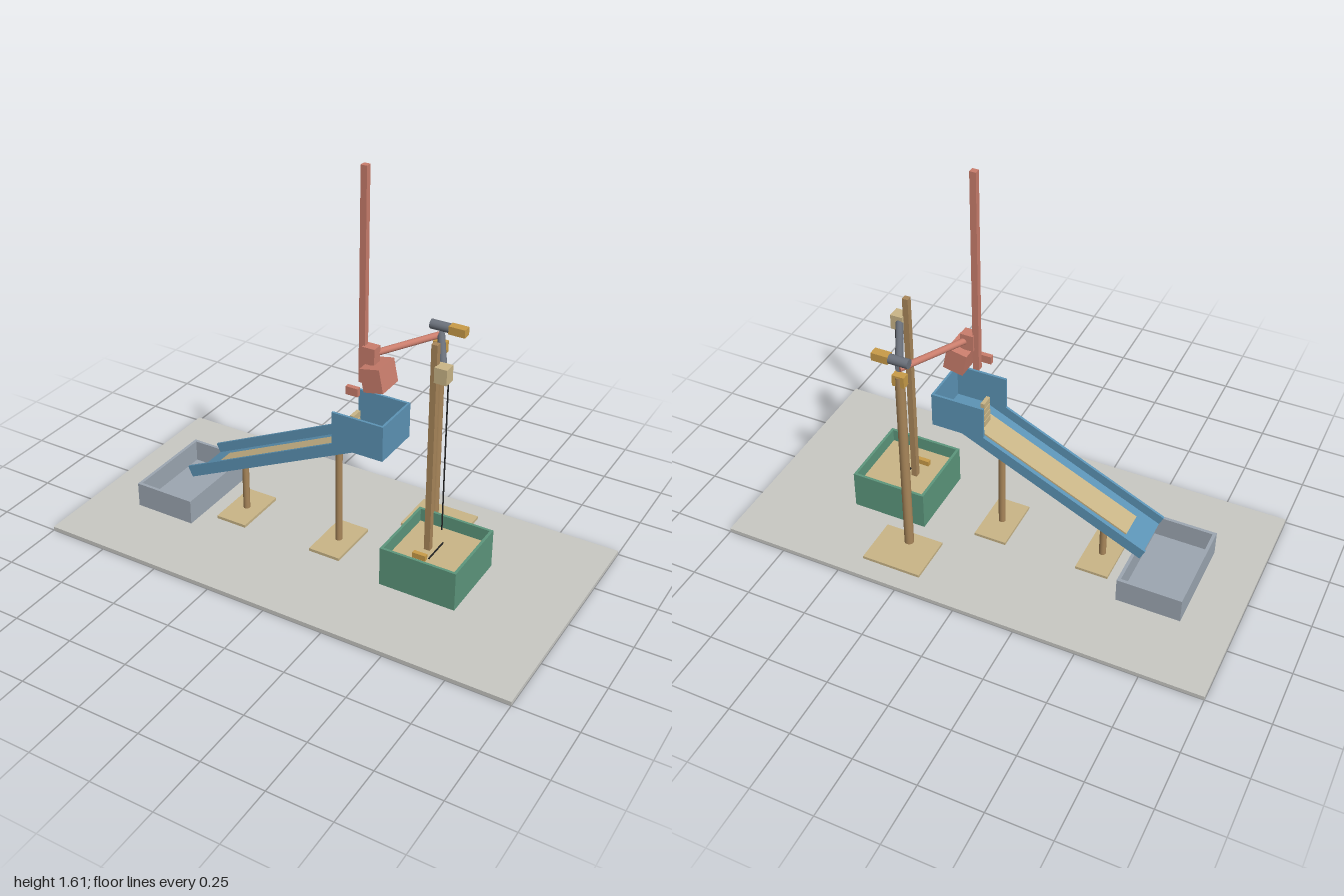
import * as THREE from 'three';

const mat = (name, color) => {
  const m = new THREE.MeshStandardMaterial({ color });
  m.name = name;
  return m;
};

export function createModel() {
  const M = {
    base: mat('pale grey', 0xc8c8c3),
    tray: mat('slate grey', 0x9ca6b1),
    blue: mat('flume blue', 0x5c93b5),
    sand: mat('sand', 0xc9b587),
    green: mat('tank green', 0x5c967c),
    wood: mat('brown wood', 0xa8865a),
    red: mat('salmon red', 0xc97d6c),
    steel: mat('steel grey', 0x6c727c),
    gold: mat('gold', 0xc89b48),
    black: mat('black', 0x222222),
  };
  const model = new THREE.Group();
  model.name = 'flumeApparatus';

  const add = (parent, name, geo, material) => {
    const m = new THREE.Mesh(geo, material);
    m.name = name;
    parent.add(m);
    return m;
  };
  // Box given by its lower and upper limits on each axis
  const box = (name, material, x0, x1, y0, y1, z0, z1, parent = model) => {
    const m = add(parent, name, new THREE.BoxGeometry(x1 - x0, y1 - y0, z1 - z0), material);
    m.position.set((x0 + x1) / 2, (y0 + y1) / 2, (z0 + z1) / 2);
    return m;
  };
  // Cylinder between two points
  const rod = (name, material, a, b, r, sides = 16) => {
    const p = new THREE.Vector3(...a), q = new THREE.Vector3(...b);
    const m = add(model, name, new THREE.CylinderGeometry(r, r, p.distanceTo(q), sides), material);
    m.position.copy(p).lerp(q, 0.5);
    m.quaternion.setFromUnitVectors(new THREE.Vector3(0, 1, 0), q.sub(p).normalize());
    return m;
  };
  // Open-topped bin with a floor
  const bin = (name, material, x0, x1, y0, y1, hz, t) => {
    const g = new THREE.Group();
    g.name = name;
    model.add(g);
    box(name + 'Floor', material, x0 + t, x1 - t, y0, y0 + t, -hz + t, hz - t, g);
    for (const s of [-1, 1]) {
      box(name + 'Side', material, x0, x1, y0, y1, s > 0 ? hz - t : -hz, s > 0 ? hz : -hz + t, g);
      box(name + 'End', material, s > 0 ? x1 - t : x0, s > 0 ? x1 : x0 + t, y0, y1, -hz + t, hz - t, g);
    }
  };

  const ground = 0.016;
  box('baseBoard', M.base, -1, 1, 0, ground, -0.5, 0.5);

  // Catch tray and supply tank with its fill
  bin('catchTray', M.tray, -0.8, -0.54, ground, 0.12, 0.2, 0.013);
  bin('supplyTank', M.green, 0.3, 0.615, ground, 0.18, 0.16, 0.011);
  box('tankSand', M.sand, 0.311, 0.604, 0.027, 0.125, -0.149, 0.149);
  box('tankBlock', M.gold, 0.395, 0.45, 0.125, 0.148, 0.063, 0.081);
  box('tankCrossbar', M.black, 0.452, 0.457, 0.125, 0.129, -0.06, 0.06);

  // Sloping trough, laid flat in its own group and tilted
  const flume = new THREE.Group();
  flume.name = 'flume';
  flume.position.set(-0.592, 0.17, 0);
  flume.rotation.z = Math.atan2(0.35, 0.74);
  model.add(flume);
  box('flumeFloor', M.blue, 0, 0.82, 0, 0.008, -0.105, 0.105, flume);
  for (const s of [-1, 1]) {
    box('flumeWall', M.blue, 0, 0.82, 0.008, 0.047, s * 0.1 - 0.005, s * 0.1 + 0.005, flume);
  }
  box('flumeSand', M.sand, 0.09, 0.815, 0.008, 0.015, -0.052, 0.052, flume);

  // Head box, open on the trough side
  const head = new THREE.Group();
  head.name = 'headBox';
  model.add(head);
  box('headFloor', M.blue, 0.14, 0.267, 0.52, 0.528, -0.095, 0.095, head);
  box('headEnd', M.blue, 0.265, 0.274, 0.52, 0.665, -0.105, 0.105, head);
  for (const s of [-1, 1]) {
    box('headSide', M.blue, 0.058, 0.265, 0.52, 0.665, s * 0.1 - 0.005, s * 0.1 + 0.005, head);
  }

  // Slatted gate at the top of the trough
  for (let i = 0; i < 4; i++) {
    const y = 0.51 + i * 0.029;
    box('gateSlat', M.sand, 0.091, 0.107, y, y + 0.024, -0.025, 0.025);
  }
  box('gateSpine', M.wood, 0.096, 0.102, 0.505, 0.62, -0.018, 0.018);

  // Flume supports
  for (const [x, top] of [[-0.405, 0.255], [0.03, 0.456]]) {
    box('supportFoot', M.sand, x - 0.067, x + 0.067, ground, 0.028, -0.115, 0.115);
    rod('supportPost', M.wood, [x, 0.028, 0], [x, top, 0], 0.014);
  }

  // Pivot column with foot, cap and drive
  const px = 0.31, pz = -0.267;
  box('columnFoot', M.sand, 0.188, 0.434, ground, 0.028, -0.418, -0.22);
  rod('column', M.wood, [px, 0.028, pz], [px, 0.855, pz], 0.019);
  box('columnCap', M.gold, px - 0.025, px + 0.025, 0.815, 0.862, pz - 0.016, pz + 0.016);
  rod('pivotDrum', M.steel, [0.268, 0.922, pz], [0.347, 0.922, pz], 0.019);
  box('pivotWeight', M.gold, 0.347, 0.415, 0.905, 0.938, pz - 0.018, pz + 0.018);

  // Two swing arms with end blocks
  rod('leftArm', M.steel, [px, 0.888, pz], [0.455, 0.888, 0], 0.015);
  rod('rightArm', M.red, [px, 0.888, pz], [0.165, 0.888, 0], 0.013);
  box('leftArmBlock', M.sand, 0.43, 0.48, 0.856, 0.918, -0.025, 0.025);
  box('rightArmBlock', M.red, 0.136, 0.188, 0.853, 0.92, -0.022, 0.022);

  // Guide post and hanging wire in the tank
  box('guidePost', M.wood, 0.409, 0.433, 0.125, 0.998, -0.012, 0.012);
  rod('wire', M.black, [0.475, 0.23, 0], [0.475, 0.87, 0], 0.003, 8);

  // Tall mast, its lower tab and the tilted bucket
  box('mast', M.red, 0.118, 0.143, 0.765, 1.605, -0.012, 0.012);
  box('mastTab', M.red, 0.105, 0.155, 0.745, 0.778, 0.064, 0.083);
  const bucket = box('bucket', M.red, 0.155, 0.237, 0.763, 0.857, -0.057, 0.057);
  bucket.rotation.z = 0.2;

  return model;
}
